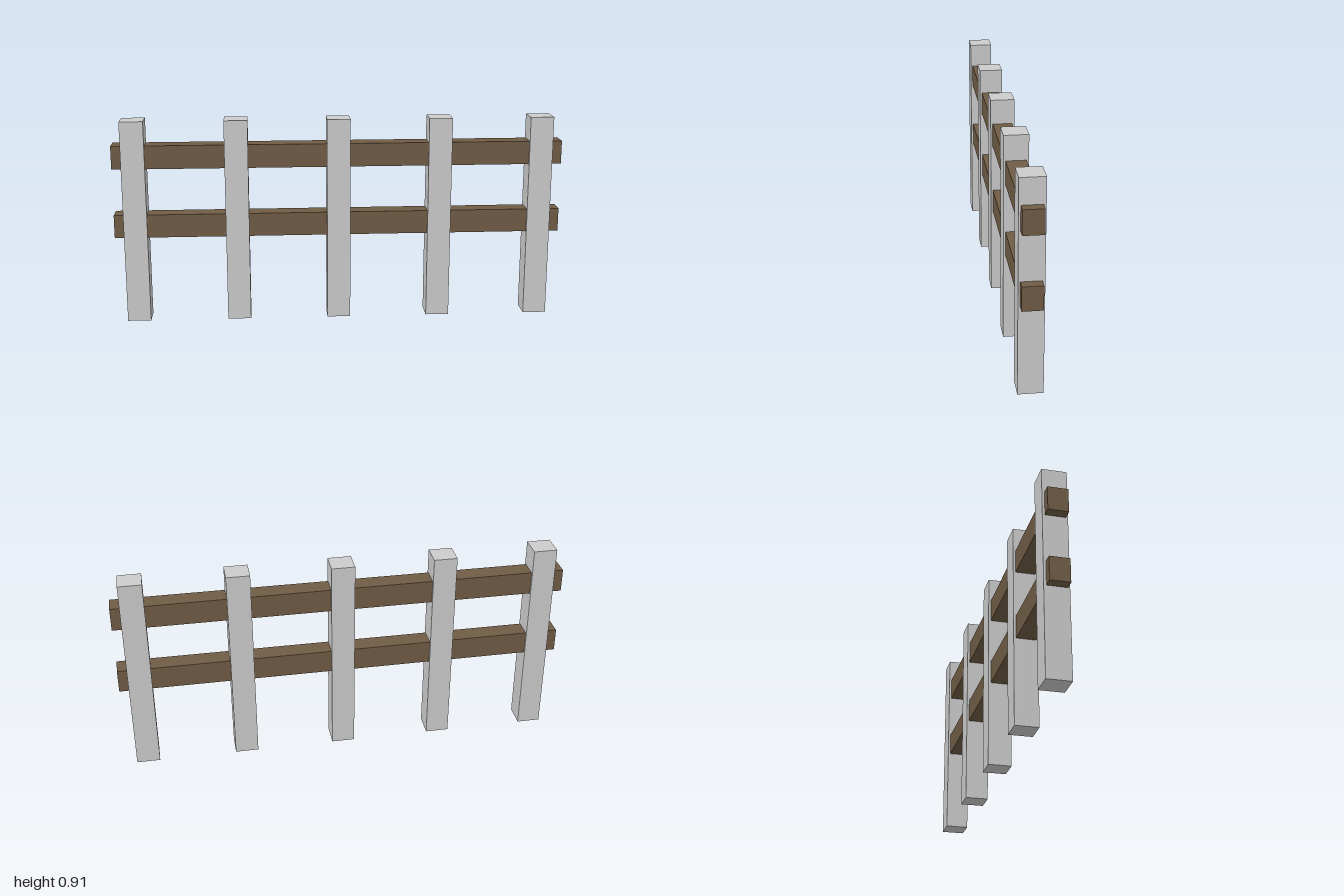
import * as THREE from 'three';

export function createModel() {
  const model = new THREE.Group();
  model.name = 'fence';

  const postGrey = new THREE.MeshStandardMaterial({ color: 0xcccccc });
  postGrey.name = 'postGrey';
  const railBrown = new THREE.MeshStandardMaterial({ color: 0x705c45 });
  railBrown.name = 'railBrown';

  const addBox = (name, size, position, material) => {
    const mesh = new THREE.Mesh(new THREE.BoxGeometry(...size), material);
    mesh.name = name;
    mesh.position.set(...position);
    model.add(mesh);
  };

  // Five evenly spaced upright posts
  const postHeight = 0.913, postWidth = 0.104, spacing = 0.453;
  for (let i = -2; i <= 2; i++) {
    addBox(`post${i + 3}`, [postWidth, postHeight, postWidth],
      [i * spacing, postHeight / 2, 0], postGrey);
  }

  // Two long rails passing through the posts
  const rails = { lowerRail: 0.44, upperRail: 0.752 };
  for (const [name, y] of Object.entries(rails)) {
    addBox(name, [2, 0.104, 0.085], [0, y, 0.001], railBrown);
  }

  return model;
}
